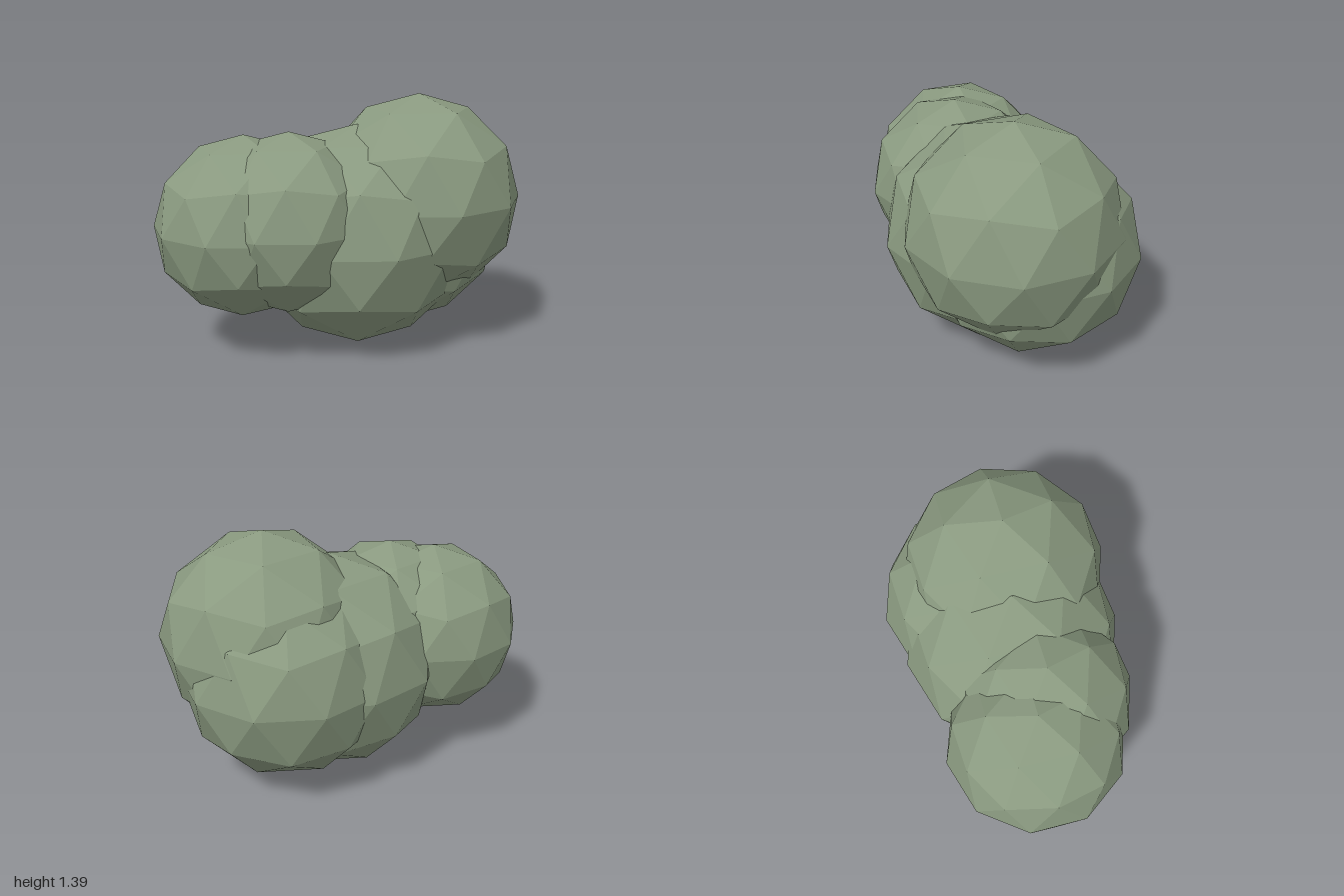
import * as THREE from 'three';

// Faceted ball standing on a vertex, with one upper ring vertex towards +x
function facetedBall(radius) {
  const geometry = new THREE.IcosahedronGeometry(radius, 1);
  geometry.rotateZ(-Math.atan(2 / (1 + Math.sqrt(5))));
  geometry.computeVertexNormals();
  return geometry;
}

export function createModel() {
  const bush = new THREE.Group();
  bush.name = 'bush';

  const foliage = new THREE.MeshStandardMaterial({ color: 0x8a9a80, flatShading: true });

  // Overlapping leaf clumps: name, radius, centre
  const clumps = [
    ['rightClump', 0.495, [-0.53, 0.705, 0.0]],
    ['frontRightClump', 0.49, [-0.31, 0.73, 0.105]],
    ['middleClump', 0.615, [0.1, 0.62, 0.03]],
    ['backLeftClump', 0.575, [0.39, 0.64, -0.07]],
    ['topLeftClump', 0.575, [0.45, 0.82, 0.068]],
  ];

  for (const [name, radius, centre] of clumps) {
    const clump = new THREE.Mesh(facetedBall(radius), foliage);
    clump.name = name;
    clump.position.set(...centre);
    bush.add(clump);
  }
  return bush;
}
